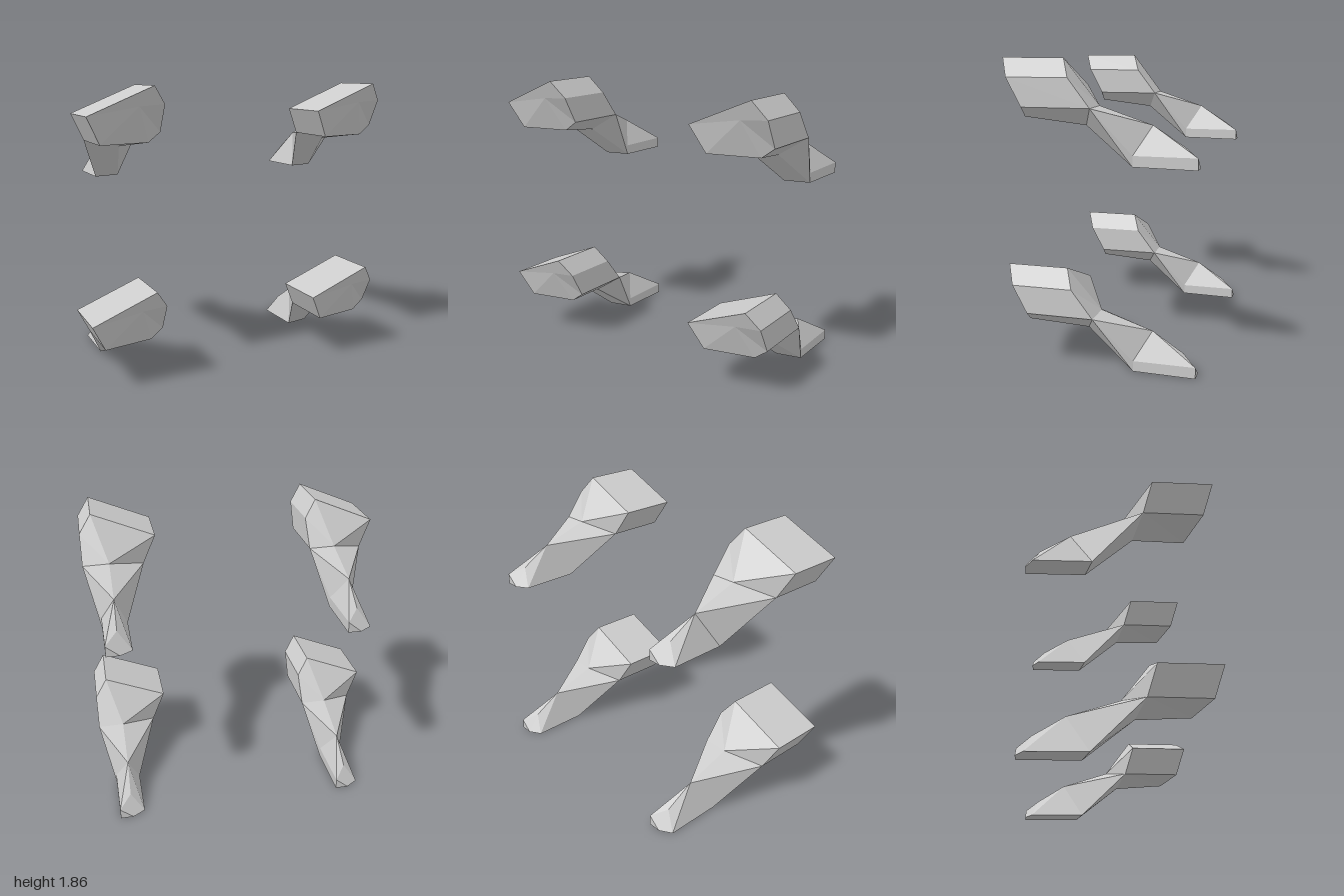
import * as THREE from 'three';

// Corner points of one faceted limb, centred on x = 0
const P = {
  nose: [0.08, 0.50, 0.55],
  // front rim of the block
  a: [-0.245, 0.45, 0.58], f: [-0.155, 0.28, 0.53], e: [0.165, 0.28, 0.45],
  d: [0.245, 0.34, 0.44], c: [0.245, 0.51, 0.53], b: [0.165, 0.62, 0.58],
  // back rim of the block
  a2: [-0.245, 0.45, 0.20], f2: [-0.155, 0.28, 0.15], h: [0.085, 0.23, 0.10],
  d2: [0.245, 0.34, 0.025], c2: [0.245, 0.51, 0.155], b2: [0.165, 0.62, 0.205],
  // neck and heel
  neck: [0.075, 0.345, 0.02], ridge: [0.075, 0.24, -0.30],
  heelL: [-0.005, 0.005, -0.16], heelR: [0.16, 0.005, -0.20], heelTop: [0.16, 0.07, -0.20],
  // toe
  toeRidge: [0.08, 0.12, -0.49], toeL: [-0.005, 0, -0.53],
  toeR: [0.16, 0, -0.58], toeTop: [0.16, 0.07, -0.58], tip: [0.075, 0, -0.58],
};

// Cross-sections from front to back, eight slots each; repeated points merge facets
const SECTIONS = [
  'a f f e d c c b',
  'a2 f2 f2 h d2 c2 c2 b2',
  'neck f2 f2 h d2 d2 neck neck',
  'ridge ridge heelL heelR heelTop ridge ridge ridge',
  'toeRidge toeL toeL toeR toeTop toeRidge toeRidge toeRidge',
].map((s) => s.split(' '));

function limbGeometry() {
  const pos = [];
  const tri = (...k) => {
    if (new Set(k).size === 3) k.forEach((n) => pos.push(...P[n]));
  };
  const n = SECTIONS[0].length;
  const last = SECTIONS.length - 1;
  for (let i = 0; i < n; i++) {
    const j = (i + 1) % n;
    // skin between neighbouring sections
    for (let s = 0; s < last; s++) {
      const A = SECTIONS[s], B = SECTIONS[s + 1];
      tri(A[i], B[i], A[j]);
      tri(A[j], B[i], B[j]);
    }
    // front and toe caps
    tri('nose', SECTIONS[0][i], SECTIONS[0][j]);
    tri('tip', SECTIONS[last][j], SECTIONS[last][i]);
  }
  const g = new THREE.BufferGeometry();
  g.setAttribute('position', new THREE.Float32BufferAttribute(pos, 3));
  g.computeVertexNormals();
  return g;
}

export function createModel() {
  const model = new THREE.Group();
  model.name = 'limbSet';
  const geometry = limbGeometry();
  const material = new THREE.MeshStandardMaterial({ color: 0xcccccc, flatShading: true });
  // Four identical limbs: two columns, two levels
  for (const [level, y] of [['lower', 0], ['upper', 1.24]]) {
    for (const [side, x] of [['Right', -0.755], ['Left', 0.755]]) {
      const limb = new THREE.Mesh(geometry, material);
      limb.name = `${level}${side}Limb`;
      limb.position.set(x, y, 0);
      model.add(limb);
    }
  }
  return model;
}
